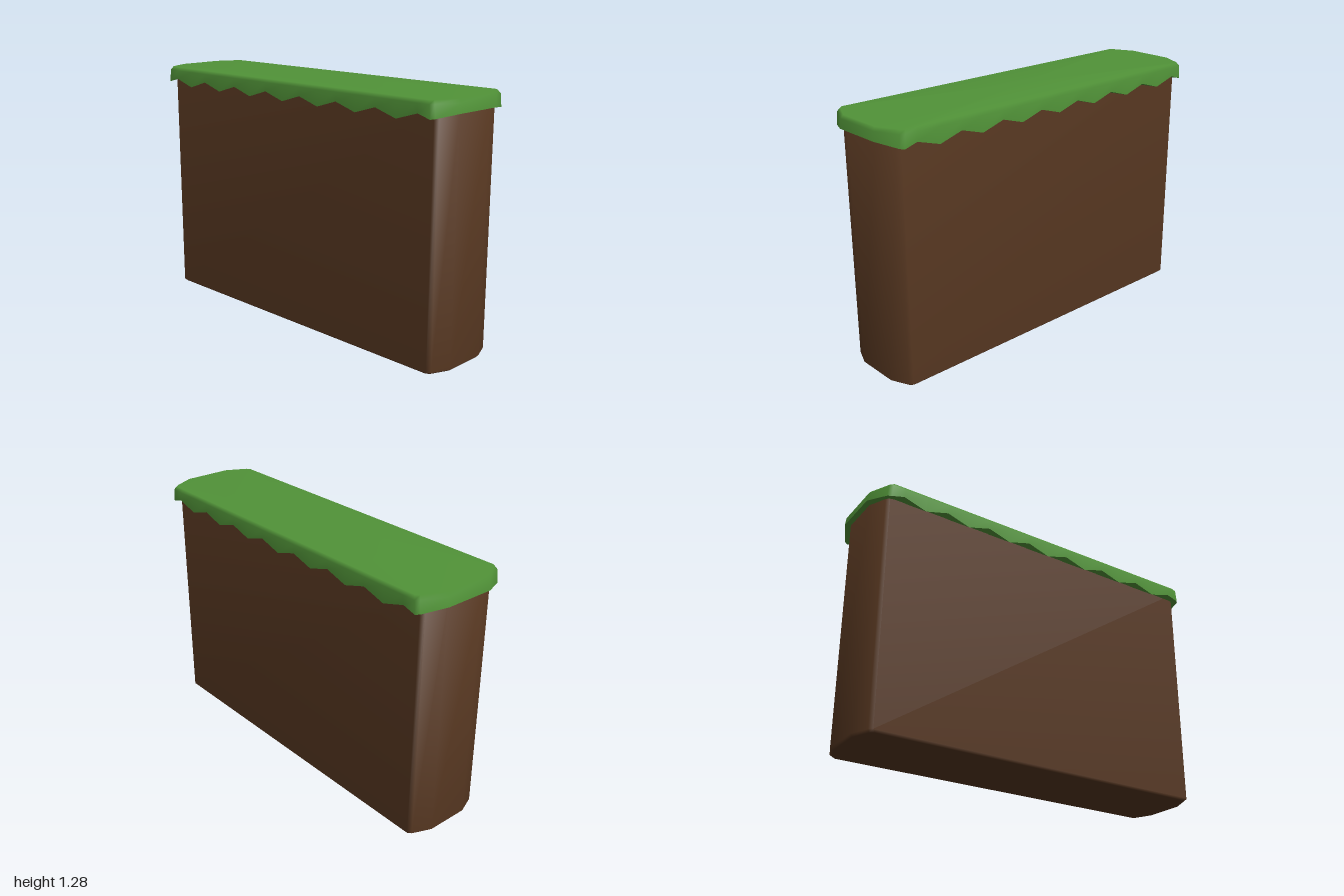
import * as THREE from 'three';

const grass = new THREE.MeshStandardMaterial({ color: 0x519338 });
grass.name = 'grass green';
const soil = new THREE.MeshStandardMaterial({ color: 0x553620 });
soil.name = 'soil brown';

// Skins a stack of rings, lowest first; caps close the first and last ring.
function loft(rings, capBottom, capTop) {
  const n = rings[0].length;
  const pos = rings.flat(2);
  const index = [];
  for (let r = 0; r < rings.length - 1; r++) {
    for (let i = 0; i < n; i++) {
      const a = r * n + i, b = r * n + (i + 1) % n;
      index.push(a, b, b + n, a, b + n, a + n);
    }
  }
  const cap = (r, up) => {
    const c = pos.length / 3;
    pos.push(0, rings[r][0][1], 0);
    for (let i = 0; i < n; i++) {
      const a = r * n + i, b = r * n + (i + 1) % n;
      index.push(c, up ? a : b, up ? b : a);
    }
  };
  if (capBottom) cap(0, false);
  if (capTop) cap(rings.length - 1, true);
  const geometry = new THREE.BufferGeometry();
  geometry.setAttribute('position', new THREE.Float32BufferAttribute(pos, 3));
  geometry.setIndex(index);
  geometry.computeVertexNormals();
  return geometry;
}

// Long plan outline with faceted, bowed ends; sideZ adds points along the sides.
function outline(hx, hz, corner, sideZ = []) {
  const half = [
    [hx / 2, hz], [hx - 0.015, corner + 0.006], [hx, corner - 0.012],
    ...sideZ.map((z) => [hx, z]),
    [hx, -corner + 0.012], [hx - 0.015, -corner - 0.006], [hx / 2, -hz],
  ];
  return [...half, ...half.map(([x, z]) => [-x, -z])];
}

// Places an outline at a height (number or rule), shrunk by dx and dz.
function ring(points, y, dx = 0, dz = dx) {
  const hx = Math.max(...points.map((p) => p[0]));
  const hz = Math.max(...points.map((p) => p[1]));
  return points.map(([x, z]) => [
    x * (1 - dx / hx), typeof y === 'function' ? y(x, z) : y, z * (1 - dz / hz),
  ]);
}

export function createModel() {
  const model = new THREE.Group();
  model.name = 'grassyBlock';
  const add = (name, geometry, material) => {
    const mesh = new THREE.Mesh(geometry, material);
    mesh.name = name;
    model.add(mesh);
  };

  // Earth block with softened lower edge
  const body = outline(0.22, 0.975, 0.93);
  add('earthBody', loft([
    ring(body, 0, 0.012), ring(body, 0.012), ring(body, 1.25),
  ], true, true), soil);

  // Grass cap whose long sides hang down in a zigzag
  const step = 0.123, high = 1.217, low = 1.18, hx = 0.26;
  const sideZ = [];
  for (let k = 7; k >= -7; k--) sideZ.push(k * step);
  const top = outline(hx, 1, 0.94, sideZ);
  const hem = (x, z) => {
    if (Math.abs(x) < hx - 0.02) return high;
    if (Math.abs(x) < hx - 0.001) return 1.2;
    const t = Math.abs(z) / step;
    return low + (high - low) * Math.abs(t - 2 * Math.round(t / 2));
  };
  add('grassCap', loft([
    ring(top, hem), ring(top, 1.262, 0, 0.006), ring(top, 1.28, 0.012, 0.018),
  ], false, true), grass);
  add('grassUnderside', loft([
    ring(top, 1.212, 0.042, 0.03), ring(top, hem),
  ], true, false), grass);

  return model;
}
